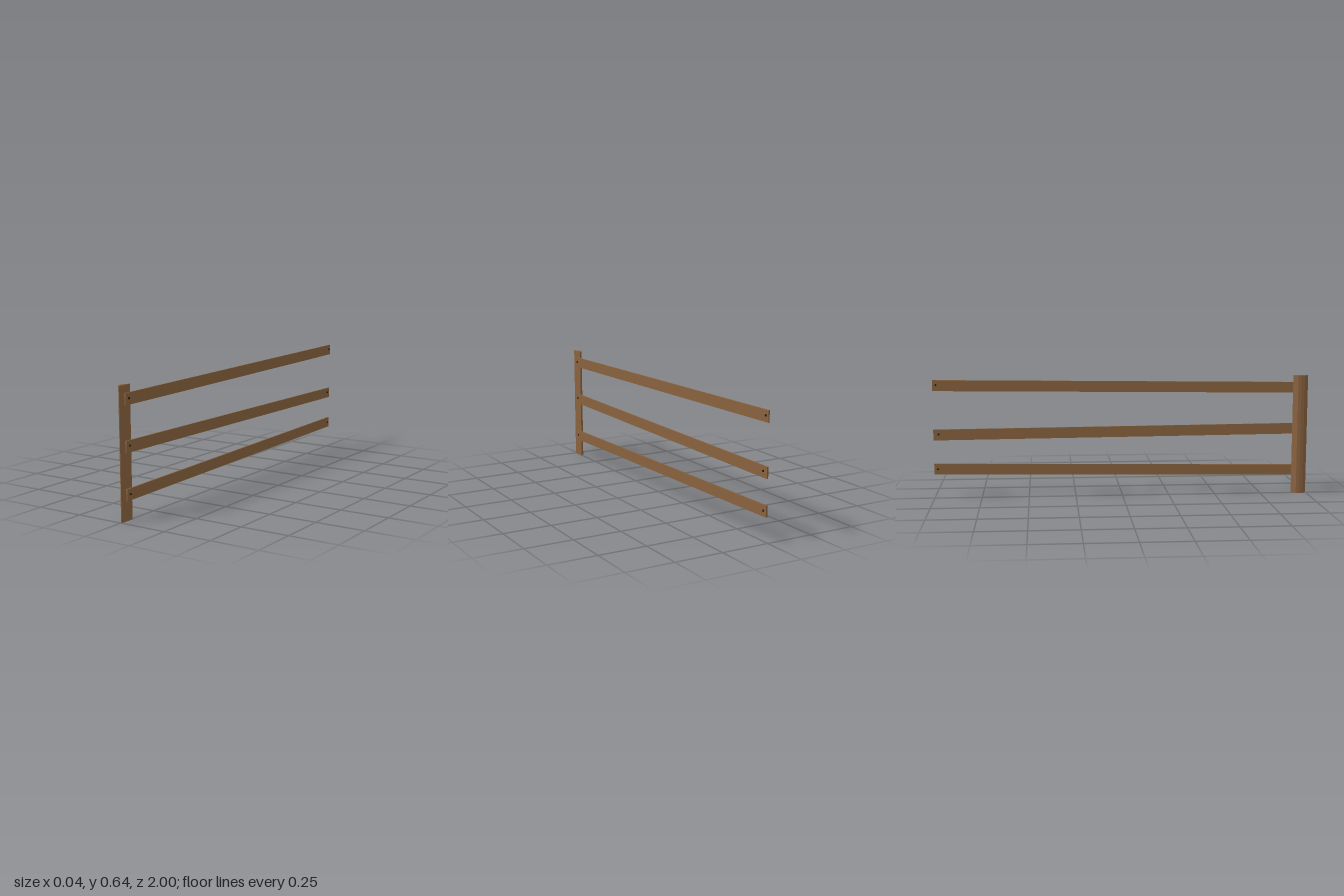
import * as THREE from 'three';

const wood = new THREE.MeshStandardMaterial({ color: 0x89623f, flatShading: true });
wood.name = 'brownWood';
const iron = new THREE.MeshStandardMaterial({ color: 0x1f1b19, flatShading: true });
iron.name = 'darkIron';

const POST_HEIGHT = 0.641;
const RAIL = { height: 0.0575, x0: 0.006, x1: 0.0132, front: 0.963, back: -1 };

// Split-log post: flat towards +x, faceted bark side towards -x
function makePost() {
  const outline = [[0.006, 1], [-0.016, 0.978], [-0.018, 0.96], [-0.016, 0.943], [0.006, 0.92]];
  const shape = new THREE.Shape(outline.map(([x, z]) => new THREE.Vector2(x, -z)));
  const geometry = new THREE.ExtrudeGeometry(shape, { depth: POST_HEIGHT, bevelEnabled: false });
  geometry.rotateX(-Math.PI / 2);
  const post = new THREE.Mesh(geometry, wood);
  post.name = 'post';
  return post;
}

// Bolt running through a rail along x
function makeBolt(y, z) {
  const geometry = new THREE.CylinderGeometry(0.0055, 0.0055, 0.0125, 8);
  geometry.rotateZ(Math.PI / 2);
  const bolt = new THREE.Mesh(geometry, iron);
  bolt.name = 'bolt';
  bolt.position.set(0.0108, y, z);
  return bolt;
}

// Sloping plank between two end heights, with a bolt near each end
function makeRail(name, yFront, yBack, boltFront, boltBack, zBoltBack) {
  const group = new THREE.Group();
  group.name = name;
  const run = RAIL.front - RAIL.back;
  const geometry = new THREE.BoxGeometry(RAIL.x1 - RAIL.x0, RAIL.height, run);
  const plank = new THREE.Mesh(geometry, wood);
  plank.name = 'plank';
  plank.position.set((RAIL.x0 + RAIL.x1) / 2, (yFront + yBack) / 2, (RAIL.front + RAIL.back) / 2);
  plank.rotation.x = Math.atan2(yBack - yFront, run);
  group.add(plank, makeBolt(boltFront, 0.941), makeBolt(boltBack, zBoltBack));
  return group;
}

export function createModel() {
  const fence = new THREE.Group();
  fence.name = 'fenceSection';
  fence.add(
    makePost(),
    makeRail('topRail', 0.575, 0.6, 0.578, 0.603, -0.982),
    makeRail('middleRail', 0.353, 0.338, 0.357, 0.342, -0.972),
    makeRail('bottomRail', 0.125, 0.155, 0.127, 0.155, -0.98),
  );
  return fence;
}
